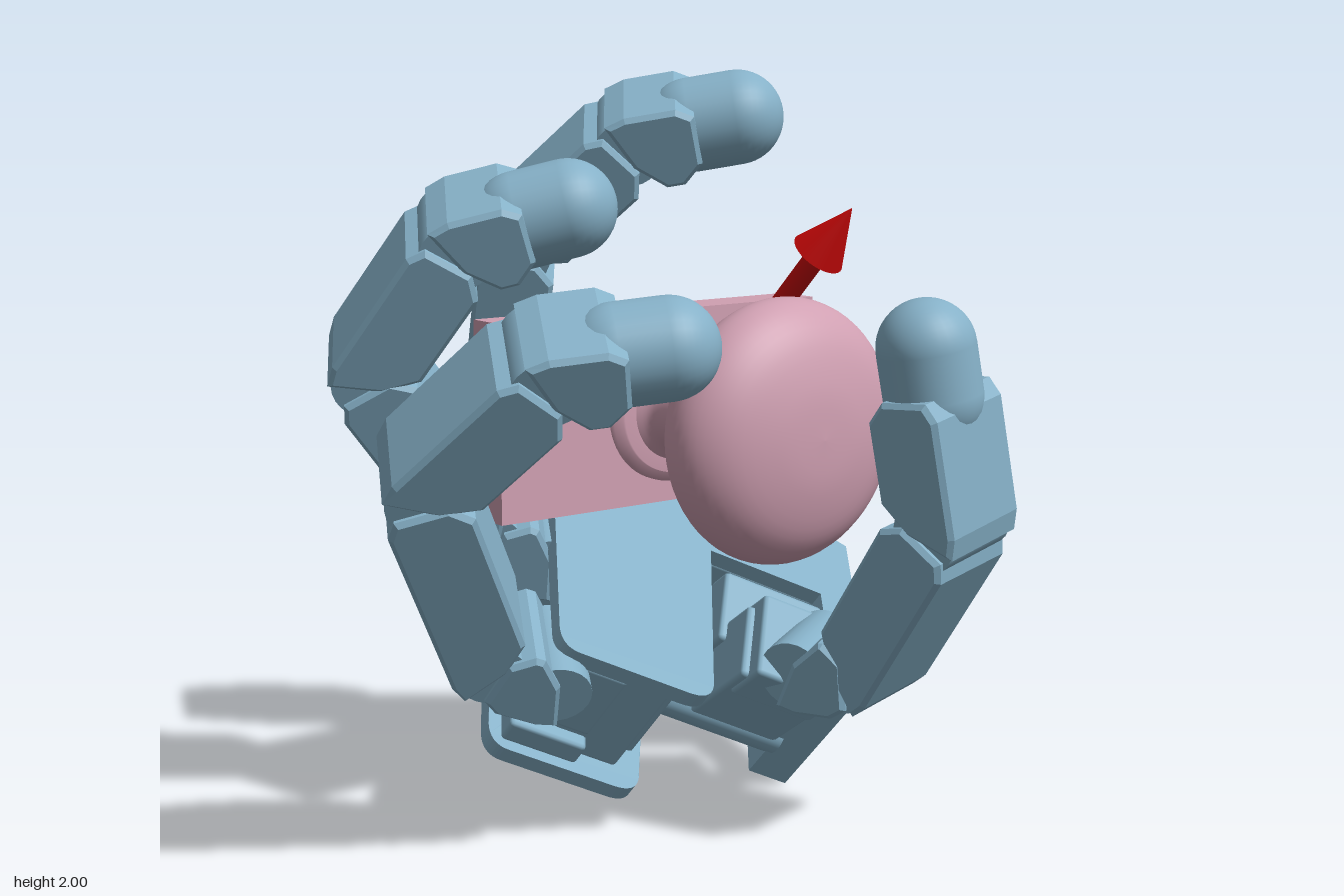
import * as THREE from 'three';
import { RoundedBoxGeometry } from 'three/addons/geometries/RoundedBoxGeometry.js';

const V = (x, y, z) => new THREE.Vector3(x, y, z);
const paint = (color) => new THREE.MeshStandardMaterial({ color });
const blue = paint(0x86b1c8), pink = paint(0xd0a0b2), red = paint(0xcc0808);

function add(parent, name, geometry, material) {
  const mesh = new THREE.Mesh(geometry, material);
  mesh.name = name;
  parent.add(mesh);
  return mesh;
}

// Turns a geometry so that its x, y, z axes become the given axes
function reorient(geometry, x, y, z) {
  return geometry.applyMatrix4(new THREE.Matrix4().makeBasis(x, y, z));
}

// Box from two opposite corners
function block(parent, name, a, b) {
  const s = b.clone().sub(a);
  const mesh = add(parent, name, new RoundedBoxGeometry(s.x, s.y, s.z, 1, 0.012), blue);
  mesh.position.copy(a).add(b).multiplyScalar(0.5);
}

// Outline drawn as (along, thickness), extruded across the finger's width
function linkShell(length, width) {
  const bevel = 0.012, w = width - 2 * bevel;
  const shape = new THREE.Shape([
    [-0.03, -0.08], [0.01, -0.092], [length - 0.06, -0.092], [length - 0.025, -0.07],
    [length - 0.025, 0.05], [length - 0.07, 0.093], [0.09, 0.093], [0.02, 0.03],
  ].map(([x, y]) => new THREE.Vector2(x, y)));
  const g = new THREE.ExtrudeGeometry(shape, {
    depth: w, bevelThickness: bevel, bevelSize: bevel, bevelSegments: 1,
  });
  g.translate(0, 0, -w / 2);
  return reorient(g, V(0, 0, 1), V(1, 0, 0), V(0, 1, 0));
}

// One finger segment from joint p to joint q; side is the hinge axis
function link(parent, name, p, q, side, isTip = false) {
  const group = new THREE.Group();
  group.name = name;
  const z = q.clone().sub(p), length = z.length();
  z.normalize();
  const x = side.clone().cross(z).normalize(), y = z.clone().cross(x);
  group.quaternion.setFromRotationMatrix(new THREE.Matrix4().makeBasis(x, y, z));
  group.position.copy(p);
  add(group, 'shell', linkShell(isTip ? length - 0.09 : length, 0.275), blue);
  add(group, 'hinge', new THREE.CylinderGeometry(0.09, 0.09, 0.235, 24), blue);
  if (isTip) {
    const dome = add(group, 'fingertip', new THREE.CapsuleGeometry(0.122, 0.12, 12, 32), blue);
    dome.rotation.x = Math.PI / 2;
    dome.position.z = length - 0.06;
  }
  parent.add(group);
}

// Finger from its base, tilt, twist and the slope of its three segments in degrees
function finger(parent, name, base, tilt, twist, slopes) {
  const group = new THREE.Group();
  group.name = name;
  const along = V(0, Math.sin(tilt), Math.cos(tilt));
  const inward = V(twist, 1, 0).cross(along).normalize();
  const side = along.clone().cross(inward);
  let p = base, q = base.clone().addScaledVector(along, 0.177);
  link(group, 'knuckle', p, q, side);
  [0.583, 0.415, 0.288].forEach((length, i) => {
    const a = THREE.MathUtils.degToRad(slopes[i]);
    p = q;
    q = p.clone().addScaledVector(along, length * Math.cos(a)).addScaledVector(inward, length * Math.sin(a));
    link(group, ['proximalSegment', 'middleSegment', 'distalSegment'][i], p, q, side, i === 2);
  });
  parent.add(group);
}

// Shape drawn as (across, along) on the palm, extruded along the palm's normal;
// the back of the hand rises slightly towards the index side
function palmSlab(parent, name, shape, from, to) {
  const g = new THREE.ExtrudeGeometry(shape, { depth: to - from, bevelEnabled: false, curveSegments: 10 });
  reorient(g, V(0, 1, 0), V(0, 0, 1), V(1, 0, 0));
  g.translate(from, 0, 0);
  const pos = g.attributes.position;
  for (let i = 0; i < pos.count; i++) {
    if (pos.getX(i) < 0.1) pos.setX(i, pos.getX(i) + 0.08 * Math.max(0, pos.getY(i)));
  }
  g.computeVertexNormals();
  add(parent, name, g, blue);
}

// Wrist edge and curved shoulder, shared by the plates and the wrist wall
function shoulder() {
  const s = new THREE.Shape();
  s.moveTo(0, 0);
  s.lineTo(0.57, 0);
  s.bezierCurveTo(0.59, 0.16, 0.76, 0.06, 0.79, 0.26);
  return s;
}

// Palm outline with the thumb notch
function palmOutline() {
  const s = shoulder();
  s.lineTo(0.815, 0.92);
  s.lineTo(0.3, 0.97);
  s.lineTo(-0.2, 0.96);
  s.quadraticCurveTo(-0.28, 0.96, -0.28, 0.9);
  s.lineTo(-0.28, 0.59);
  s.quadraticCurveTo(-0.28, 0.51, -0.2, 0.51);
  s.lineTo(0.31, 0.48);
  s.lineTo(0.31, 0.12);
  s.lineTo(0, 0.12);
  return s;
}

function wristOutline() {
  const s = shoulder();
  s.lineTo(0.75, 0.28);
  s.bezierCurveTo(0.72, 0.14, 0.57, 0.2, 0.53, 0.12);
  s.lineTo(0, 0.12);
  return s;
}

function buildHand() {
  // Hand space: x = palm normal, y = across the palm, z = towards the fingers
  const hand = new THREE.Group();
  hand.name = 'hand';
  const z = V(-0.86, 0.41, -0.305).normalize();
  const y = z.clone().cross(V(0.15, 0.77, 0.62)).normalize();
  const x = y.clone().cross(z);
  hand.quaternion.setFromRotationMatrix(new THREE.Matrix4().makeBasis(x, y, z));
  hand.position.set(0.535, 0.003, -0.03);

  // Palm plates, wrist and the drive units between the plates
  palmSlab(hand, 'backPlate', palmOutline(), 0, 0.045);
  palmSlab(hand, 'palmPlate', palmOutline(), 0.395, 0.44);
  palmSlab(hand, 'wristBlock', wristOutline(), 0.04, 0.4);
  for (const u of [-0.17, 0.23, 0.66]) {
    block(hand, 'fingerDrive', V(0.07, u - 0.07, 0.6), V(0.4, u + 0.09, 0.82));
    block(hand, 'fingerMount', V(0.18, u - 0.11, 0.74), V(0.4, u + 0.11, 0.93));
    block(hand, 'driveFoot', V(0.07, u - 0.11, 0.72), V(0.14, u + 0.11, 0.94));
  }
  block(hand, 'thumbDrive', V(0.04, -0.14, 0.53), V(0.4, 0.2, 0.72));
  block(hand, 'notchWall', V(0.05, 0.31, 0.12), V(0.4, 0.35, 0.5));

  // Fingers
  finger(hand, 'indexFinger', V(0.32, 0.66, 0.905), 0.087, -0.09, [68, 105.8, 140.4]);
  finger(hand, 'middleFinger', V(0.32, 0.23, 0.93), 0, -0.13, [32, 95.5, 138.5]);
  finger(hand, 'ringFinger', V(0.32, -0.215, 0.92), -0.087, -0.055, [47.5, 106, 148]);

  // Thumb axle, bearing and swinging bracket
  const axle = add(hand, 'thumbAxle', new THREE.CylinderGeometry(0.06, 0.06, 0.44, 24), blue);
  axle.rotation.x = Math.PI / 2;
  axle.position.set(0.123, 0.05, 0.32);
  const bearing = add(hand, 'thumbBearing', new THREE.CylinderGeometry(0.08, 0.08, 0.05, 24), blue);
  bearing.rotation.x = Math.PI / 2;
  bearing.position.set(0.123, 0.05, 0.5);
  const bracket = new THREE.Group();
  bracket.name = 'thumbBracket';
  bracket.position.set(0.123, 0.05, 0.29);
  bracket.rotation.z = -0.32;
  block(bracket, 'bracketBody', V(0.1, -0.09, -0.13), V(0.38, 0.12, 0.14));
  block(bracket, 'bracketCap', V(0.28, -0.1, -0.13), V(0.43, 0.14, 0.12));
  block(bracket, 'bracketArm', V(0.18, 0.06, -0.15), V(0.27, 0.27, 0.16));
  hand.add(bracket);

  // Thumb segments
  const thumb = new THREE.Group();
  thumb.name = 'thumb';
  const joints = [V(0.526, -0.083, 0.259), V(0.63, -0.155, 0.155), V(1.155, -0.18, 0.253), V(1.465, 0.015, 0.507)];
  ['thumbKnuckle', 'thumbMiddle', 'thumbDistal'].forEach((name, i) =>
    link(thumb, name, joints[i], joints[i + 1], V(-0.176, -0.654, 0.74), i === 2));
  hand.add(thumb);
  return hand;
}

function buildKnob() {
  const group = new THREE.Group();
  group.name = 'doorKnob';
  const plate = add(group, 'plate', new THREE.BoxGeometry(1.015, 0.505, 0.12), pink);
  plate.position.set(0.078, 1.137, -0.06);

  // Turned knob: stepped collar, then neck, flare and dome
  const points = (list) => list.map(([r, h]) => new THREE.Vector2(r, h));
  const curve = new THREE.SplineCurve(points([
    [0.13, 0.055], [0.105, 0.085], [0.1, 0.14], [0.108, 0.19], [0.15, 0.24], [0.22, 0.31],
    [0.295, 0.39], [0.328, 0.46], [0.31, 0.53], [0.24, 0.59], [0.12, 0.625], [0, 0.633],
  ]));
  const profiles = {
    collar: points([[0, 0], [0.165, 0], [0.165, 0.015], [0.19, 0.02], [0.19, 0.04], [0.165, 0.045], [0.165, 0.055], [0.09, 0.055]]),
    knob: curve.getPoints(48),
  };
  for (const [name, profile] of Object.entries(profiles)) {
    const mesh = add(group, name, new THREE.LatheGeometry(profile, 64), pink);
    mesh.rotation.x = Math.PI / 2;
    mesh.position.set(0.076, 1.137, 0);
  }
  return group;
}

function buildArrow() {
  const group = new THREE.Group();
  group.name = 'arrow';
  const tail = V(0.1, 1.21, 0.2), tip = V(0.19, 1.68, 0.587);
  const length = tail.distanceTo(tip);
  add(group, 'shaft', new THREE.CylinderGeometry(0.027, 0.027, length - 0.14, 24), red).position.y = (length - 0.14) / 2;
  add(group, 'head', new THREE.ConeGeometry(0.068, 0.15, 32), red).position.y = length - 0.075;
  group.position.copy(tail);
  group.quaternion.setFromUnitVectors(V(0, 1, 0), tip.sub(tail).normalize());
  return group;
}

export function createModel() {
  const model = new THREE.Group();
  model.name = 'roboticHandWithKnob';
  model.add(buildHand(), buildKnob(), buildArrow());
  return model;
}
